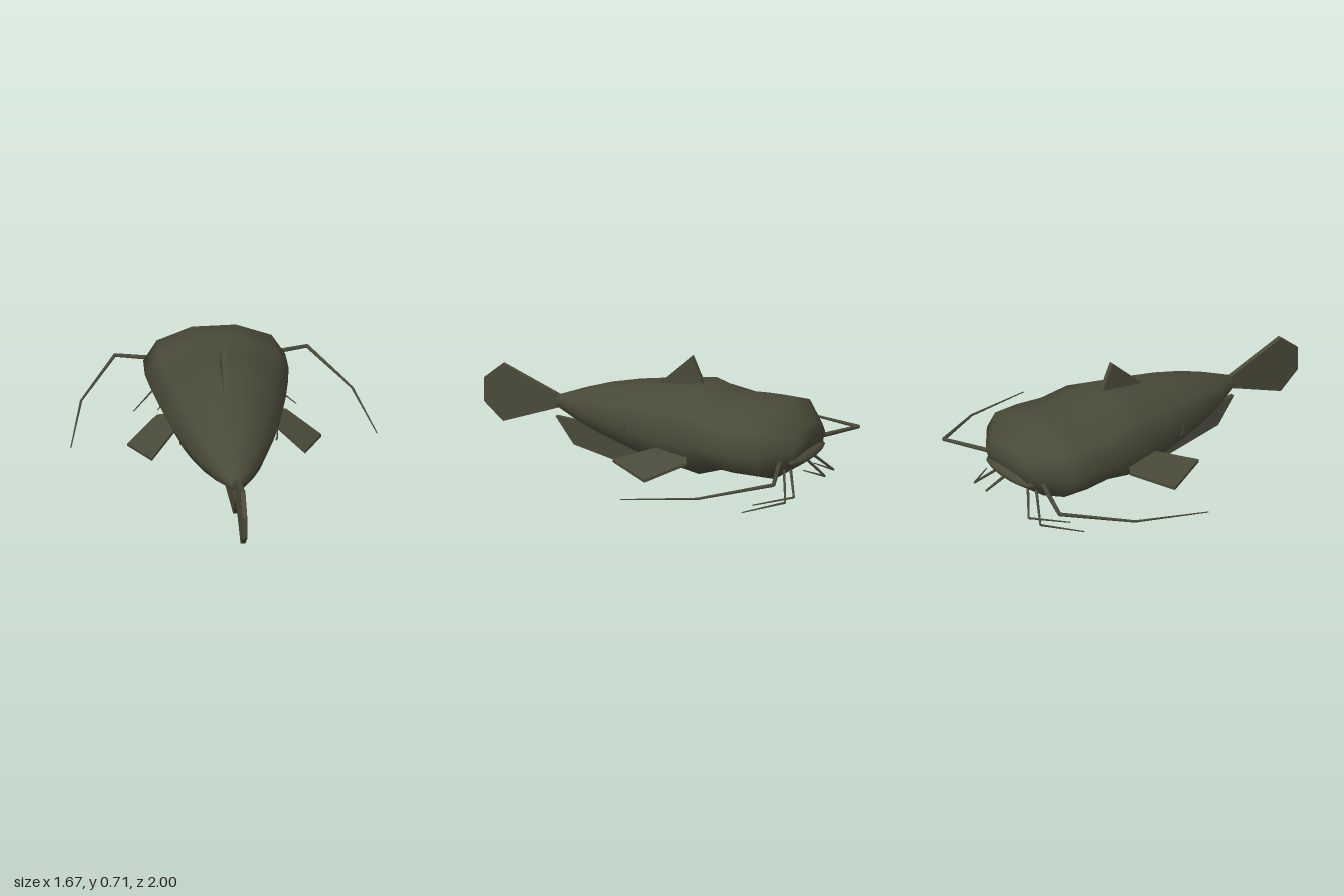
import * as THREE from 'three';

const olive = new THREE.MeshStandardMaterial({ color: 0x4a4a39 });
olive.name = 'olive skin';

function add(group, name, geometry) {
  const mesh = new THREE.Mesh(geometry, olive);
  mesh.name = name;
  group.add(mesh);
  return mesh;
}

// Lofted body: ten-sided rings along z, closed at both ends
function bodyGeometry() {
  // z, half width, top, bottom
  const stations = [
    [0.55, 0.04, 0.368, 0.298], [0.4, 0.125, 0.425, 0.245], [0.26, 0.185, 0.47, 0.2],
    [0.1, 0.238, 0.507, 0.158], [-0.05, 0.28, 0.532, 0.128], [-0.2, 0.315, 0.553, 0.107],
    [-0.34, 0.345, 0.575, 0.087], [-0.5, 0.372, 0.522, 0.143], [-0.65, 0.39, 0.53, 0.135],
    [-0.8, 0.385, 0.53, 0.135], [-0.947, 0.2, 0.43, 0.23],
  ];
  const sides = 10, pos = [], idx = [];
  for (const [z, w, top, bottom] of stations) {
    const cy = (top + bottom) / 2, ry = (top - bottom) / 2 / Math.sin(Math.PI * 0.4);
    for (let i = 0; i < sides; i++) {
      const a = (i / sides) * Math.PI * 2;
      pos.push(Math.cos(a) * w, cy + Math.sin(a) * ry, z);
    }
  }
  const last = (stations.length - 1) * sides;
  const tail = pos.length / 3, nose = tail + 1;
  pos.push(0, 0.333, 0.55, 0, 0.33, -0.95);
  for (let i = 0; i < sides; i++) {
    const j = (i + 1) % sides;
    for (let s = 0; s < last; s += sides) {
      idx.push(s + i, s + sides + i, s + j, s + j, s + sides + i, s + sides + j);
    }
    idx.push(tail, i, j, nose, last + j, last + i);
  }
  const g = new THREE.BufferGeometry();
  g.setAttribute('position', new THREE.Float32BufferAttribute(pos, 3));
  g.setIndex(idx);
  g.computeVertexNormals();
  return g;
}

function plate(points, depth) {
  const shape = new THREE.Shape(points.map(([a, b]) => new THREE.Vector2(a, b)));
  return new THREE.ExtrudeGeometry(shape, { depth, bevelEnabled: false }).translate(0, 0, -depth / 2);
}

// Upright fin on the centre line, outlined as [z, y]
const midFin = (points) => plate(points, 0.026).rotateY(-Math.PI / 2);

// Paired fin outlined as [x, z], sloping down away from the body
function sideFin(side) {
  const outline = [[0.2, -0.3], [0.35, -0.385], [0.525, -0.215], [0.415, 0.028], [0.2, -0.27]];
  const g = plate(outline.map(([x, z]) => [x * side, -z]), 0.016).rotateX(-Math.PI / 2);
  const p = g.attributes.position;
  for (let i = 0; i < p.count; i++) p.setY(i, p.getY(i) + 0.37 - 0.4 * Math.abs(p.getX(i)));
  g.computeVertexNormals();
  return g;
}

// Barbel: straight tapering segments through the given points
function barbel(group, name, points, side, r0, r1) {
  const part = new THREE.Group();
  part.name = name;
  const pts = points.map(([x, y, z]) => new THREE.Vector3(x * side, y, z));
  const n = pts.length - 1, up = new THREE.Vector3(0, 1, 0);
  for (let i = 0; i < n; i++) {
    const dir = pts[i + 1].clone().sub(pts[i]);
    const ra = r0 + ((r1 - r0) * i) / n, rb = r0 + ((r1 - r0) * (i + 1)) / n;
    const seg = add(part, name + 'Segment', new THREE.CylinderGeometry(rb, ra, dir.length(), 6));
    seg.position.copy(pts[i]).addScaledVector(dir, 0.5);
    seg.quaternion.setFromUnitVectors(up, dir.normalize());
  }
  group.add(part);
}

export function createModel() {
  const fish = new THREE.Group();
  fish.name = 'whiskeredFish';
  add(fish, 'body', bodyGeometry());

  // Wide flat lips
  const lips = add(fish, 'lips', new THREE.SphereGeometry(1, 14, 8));
  lips.scale.set(0.21, 0.03, 0.05);
  lips.position.set(0, 0.27, -0.93);
  lips.rotation.x = -0.25;

  // Centre-line fins
  add(fish, 'dorsalFin', midFin([[-0.04, 0.5], [-0.05, 0.53], [-0.25, 0.717], [-0.315, 0.575], [-0.325, 0.5]]));
  add(fish, 'tailFin', midFin([[0.53, 0.36], [0.89, 0.495], [1, 0.4], [1, 0.265], [0.885, 0.167], [0.53, 0.305]]));
  add(fish, 'analFin', midFin([[0.57, 0.245], [0.46, 0.1], [0, 0.004], [-0.1, 0.13], [-0.1, 0.19], [0.3, 0.23]]));

  for (const side of [1, -1]) {
    const label = side > 0 ? 'left' : 'right';
    add(fish, label + 'PectoralFin', sideFin(side));

    // Small curved slit on the flank
    const slit = new THREE.QuadraticBezierCurve3(
      new THREE.Vector3(0.26 * side, 0.37, 0.028),
      new THREE.Vector3(0.27 * side, 0.33, 0.045),
      new THREE.Vector3(0.26 * side, 0.292, 0.028));
    add(fish, label + 'FlankSlit', new THREE.TubeGeometry(slit, 6, 0.005, 5));

    // Whiskers: one long pair and two short chin pairs
    barbel(fish, label + 'LongBarbel',
      [[0.16, 0.285, -0.86], [0.52, 0.26, -0.99], [0.735, 0.195, -0.64], [0.83, 0.155, -0.22]], side, 0.014, 0.003);
    barbel(fish, label + 'OuterChinBarbel',
      [[0.13, 0.24, -0.86], [0.295, 0.08, -0.95], [0.44, 0.04, -0.76]], side, 0.009, 0.003);
    barbel(fish, label + 'InnerChinBarbel',
      [[0.06, 0.24, -0.86], [0.19, 0.076, -0.95], [0.31, 0.04, -0.76]], side, 0.009, 0.003);
  }
  return fish;
}
